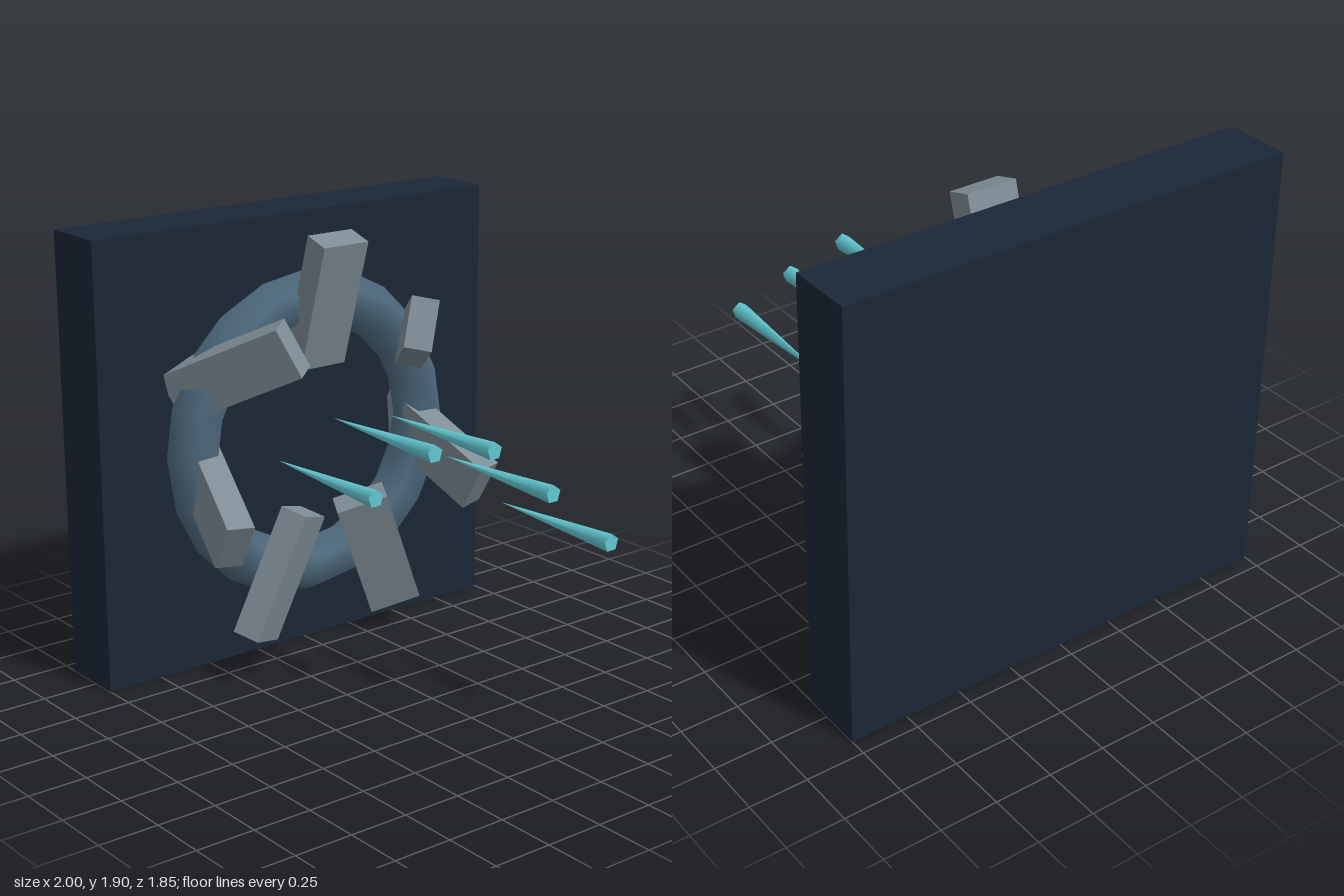
import * as THREE from 'three';

const paint = (color) => new THREE.MeshStandardMaterial({ color });

export function createModel() {
  const group = new THREE.Group();
  const centreY = 0.9525;
  const slate = paint(0x1b2737);
  const steel = paint(0x4d687c);
  const stone = paint(0x7f8d97);
  const ice = paint(0x62c8d2);

  const add = (name, geometry, material, x, y, z) => {
    const mesh = new THREE.Mesh(geometry, material);
    mesh.name = name;
    mesh.position.set(x, y, z);
    group.add(mesh);
    return mesh;
  };

  // Wall slab at the back
  add('wallSlab', new THREE.BoxGeometry(2, 1.905, 0.286), slate, 0, centreY, -0.782);

  // Ring half sunk into the slab
  add('ring', new THREE.TorusGeometry(0.595, 0.119, 6, 20), steel, 0, centreY, -0.592);

  // Seven twisted blocks around the ring
  const blockGeometry = new THREE.BoxGeometry(0.225, 0.571, 0.119);
  for (let i = 0; i < 7; i++) {
    const a = (i / 7) * Math.PI * 2;
    const block = add('ringBlock', blockGeometry, stone,
      0.605 * Math.sin(a), centreY + 0.605 * Math.cos(a), -0.449);
    block.rotation.set(0.3, a, a);
  }

  // Five spikes pointing back at the ring, each further forward than the last
  const spikeLength = 0.648;
  const spikeGeometry = new THREE.ConeGeometry(0.038, spikeLength, 5).rotateX(-Math.PI / 2);
  [0.955, 1.14, 1.155, 0.985, 0.79].forEach((y, i) => {
    const baseZ = 0.313 + i * 0.152;
    add('spike', spikeGeometry, ice, (i - 2) * 0.171, y, baseZ - spikeLength / 2);
  });

  return group;
}
